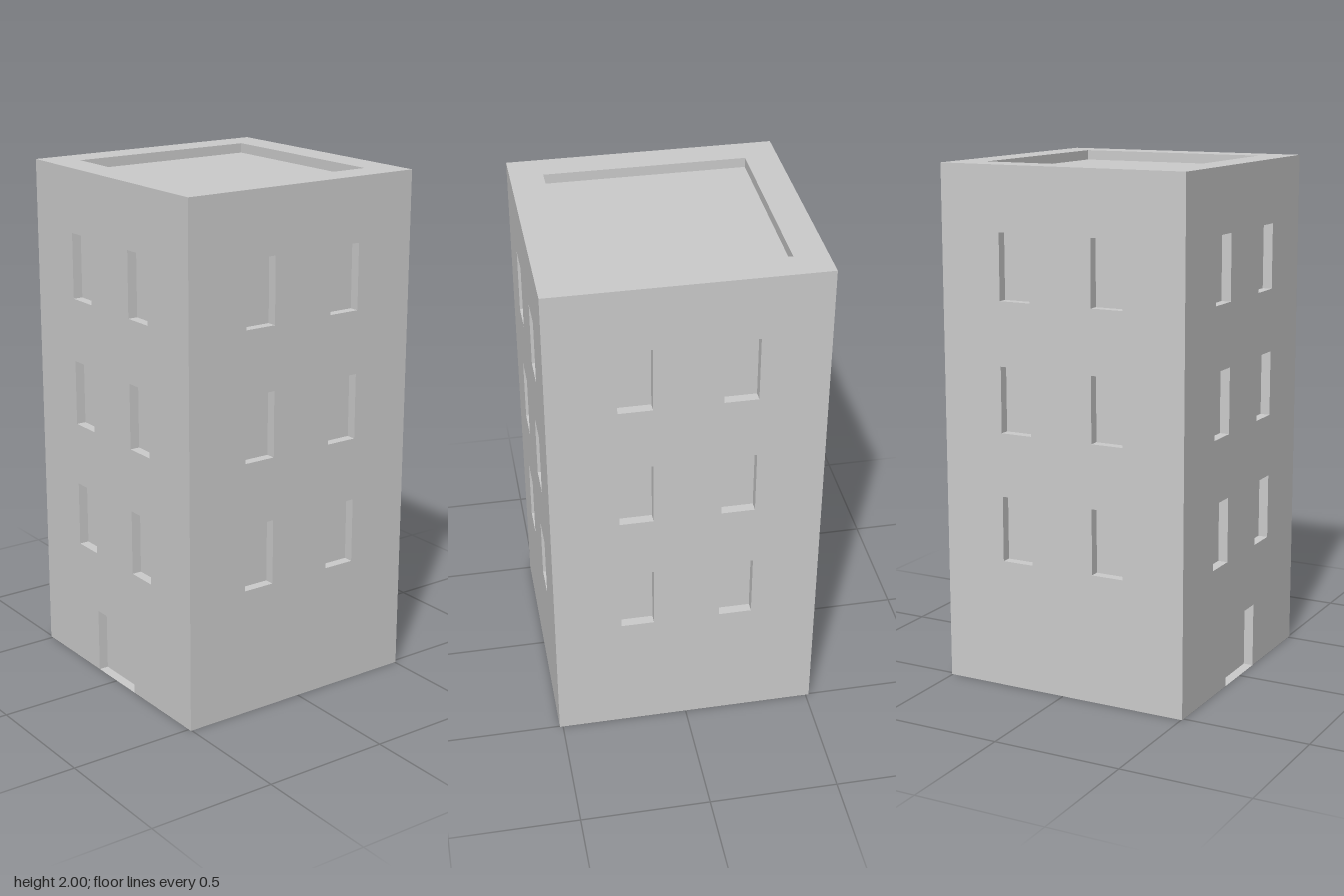
import * as THREE from 'three';

const W = 1.026, D = 1.008, H = 2;   // overall size
const RECESS = 0.038;                // depth of windows, door and roof well
const material = new THREE.MeshStandardMaterial({ color: 0xcccccc, flatShading: true });

// Open-fronted box seen from the inside, sunk behind z = 0
function recess(name, { x, y, w, h }) {
  const geo = new THREE.BoxGeometry(w, h, RECESS);
  const index = Array.from(geo.index.array);
  index.splice(24, 6);               // drop the front face
  geo.setIndex(index.reverse());     // turn the rest inwards
  geo.computeVertexNormals();
  geo.translate(x, y + h / 2, -RECESS / 2);
  const mesh = new THREE.Mesh(geo, material);
  mesh.name = name;
  return mesh;
}

// Flat panel in the xy plane facing +z, with sunken openings and an optional door
function panel(name, w, h, openingName, openings, door) {
  const group = new THREE.Group();
  group.name = name;
  const outline = [[-w / 2, 0]];
  if (door) {
    const d = door.w / 2;
    outline.push([-d, 0], [-d, door.h], [d, door.h], [d, 0]);
    group.add(recess('doorRecess', door));
  }
  outline.push([w / 2, 0], [w / 2, h], [-w / 2, h]);
  const shape = new THREE.Shape(outline.map(p => new THREE.Vector2(...p)));
  for (const o of openings) {
    const l = o.x - o.w / 2, r = o.x + o.w / 2, t = o.y + o.h;
    shape.holes.push(new THREE.Path([[l, o.y], [l, t], [r, t], [r, o.y]].map(p => new THREE.Vector2(...p))));
    group.add(recess(openingName, o));
  }
  const face = new THREE.Mesh(new THREE.ShapeGeometry(shape), material);
  face.name = name + 'Surface';
  group.add(face);
  return group;
}

export function createModel() {
  const building = new THREE.Group();
  building.name = 'building';

  // Three floors with a pair of windows each
  const windows = [];
  for (const y of [0.5, 1, 1.5])
    for (const side of [-1, 1]) windows.push({ x: side * 0.192, y, w: 0.128, h: 0.254 });
  const door = { x: 0, y: 0, w: 0.258, h: 0.254 };

  // Four walls around the block
  ['frontWall', 'leftWall', 'backWall', 'rightWall'].forEach((name, i) => {
    const across = i % 2 ? D : W, out = i % 2 ? W : D;
    const wall = panel(name, across, H, 'windowRecess', windows, i === 0 ? door : null);
    wall.rotation.y = i * Math.PI / 2;
    wall.position.set(0, 0, out / 2).applyEuler(wall.rotation);
    building.add(wall);
  });

  // Roof with a sunken well inside the parapet
  const roof = panel('roof', W, D, 'roofWell', [{ x: 0, y: (D - 0.762) / 2, w: 0.774, h: 0.762 }]);
  roof.rotation.x = -Math.PI / 2;
  roof.position.set(0, H, D / 2);
  building.add(roof);

  // Underside
  const base = panel('base', W, D, '', []);
  base.rotation.x = Math.PI / 2;
  base.position.z = -D / 2;
  building.add(base);

  return building;
}
